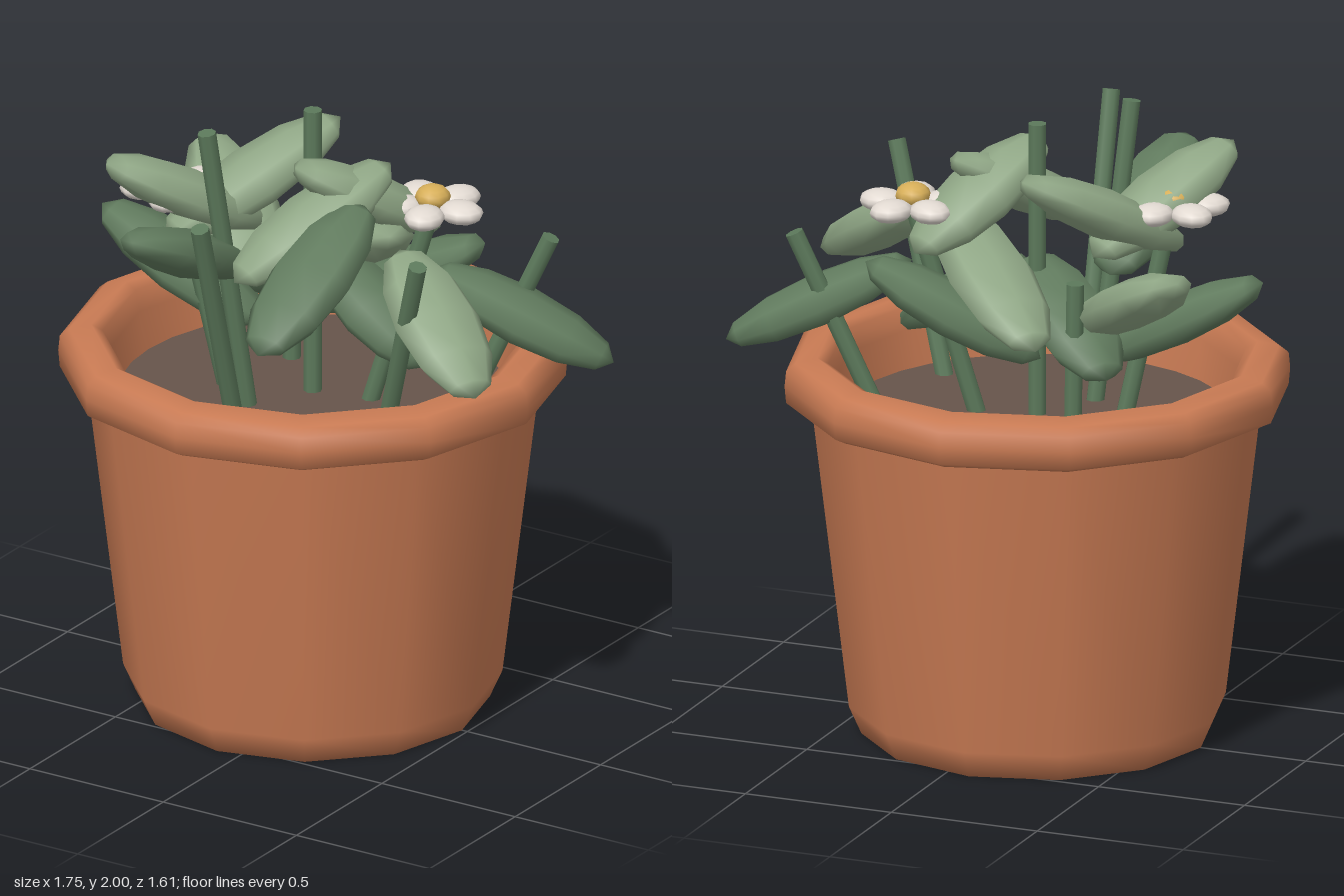
import * as THREE from 'three';

const mat = (name, color) => Object.assign(new THREE.MeshStandardMaterial({ color }), { name });
const V = (p) => new THREE.Vector3(...p);

export function createModel() {
  const clay = mat('terracotta', 0xc87a53);
  const earth = mat('soil', 0x66544a);
  const darkGreen = mat('dark leaf green', 0x617b5e);
  const lightGreen = mat('light leaf green', 0x8fa685);
  const stemGreen = mat('stem green', 0x5c795b);
  const white = mat('petal white', 0xe2dad2);
  const yellow = mat('flower yellow', 0xd6ae58);

  const plant = new THREE.Group();
  plant.name = 'pottedPlant';
  const add = (name, geometry, material, parent = plant) => {
    const mesh = new THREE.Mesh(geometry, material);
    mesh.name = name;
    parent.add(mesh);
    return mesh;
  };

  // Pot: twelve-sided turned body, rounded rim and inner wall
  const pot = new THREE.Group();
  pot.name = 'pot';
  pot.position.x = -0.08;
  plant.add(pot);
  const lathe = (name, points) => add(name,
    new THREE.LatheGeometry(points.map(([r, y]) => new THREE.Vector2(r, y)), 12), clay, pot);
  lathe('potBody', [[0, 0], [0.56, 0], [0.6, 0.09], [0.72, 1.1]]);
  lathe('potRim', [[0.71, 1.08], [0.76, 1.085], [0.8, 1.105], [0.805, 1.16], [0.8, 1.21],
    [0.77, 1.235], [0.7, 1.25], [0.665, 1.23], [0.65, 1.16], [0.63, 1.0]]);
  const soil = add('soil', new THREE.CircleGeometry(0.615, 32), earth, pot);
  soil.rotation.x = -Math.PI / 2;
  soil.position.y = 1.04;

  // Stems: thin rods from the soil to a tip
  const stem = (base, tip) => {
    const a = V(base), b = V(tip), d = b.clone().sub(a);
    const rod = add('stem', new THREE.CylinderGeometry(0.03, 0.03, d.length(), 8), stemGreen);
    rod.position.copy(a).add(b).multiplyScalar(0.5);
    rod.quaternion.setFromUnitVectors(new THREE.Vector3(0, 1, 0), d.normalize());
  };
  [
    [[-0.19, 1.0, 0.2], [-0.26, 2.0, 0.34]],
    [[-0.08, 1.0, 0], [-0.08, 2.0, 0]],
    [[-0.035, 1.0, 0.49], [-0.01, 1.88, 0.77]],
    [[0.34, 1.0, 0.26], [0.57, 1.75, 0.4]],
    [[0.37, 1.0, -0.18], [0.64, 1.63, -0.27]],
    [[-0.33, 1.0, 0.1], [-0.46, 1.7, 0.18]],
    [[-0.28, 1.0, -0.19], [-0.29, 1.55, -0.19]],
    [[0.1, 1.0, -0.04], [0.3, 1.72, -0.11]],
  ].forEach(([base, tip]) => stem(base, tip));

  // Leaves: flattened ellipsoids stretched from base to tip, blade kept level across
  const leafGeometry = new THREE.SphereGeometry(1, 8, 6);
  const leaf = (base, tip, material) => {
    const a = V(base), b = V(tip), along = b.clone().sub(a);
    const length = along.length();
    along.normalize();
    const side = new THREE.Vector3().crossVectors(along, new THREE.Vector3(0, 1, 0)).normalize();
    const up = new THREE.Vector3().crossVectors(side, along);
    const mesh = add('leaf', leafGeometry, material);
    mesh.position.copy(a).add(b).multiplyScalar(0.5);
    mesh.quaternion.setFromRotationMatrix(new THREE.Matrix4().makeBasis(side, along, up));
    mesh.scale.set(0.145, length / 2, 0.08);
  };
  // Lighter leaves
  [
    [[-0.26, 1.36, 0.0], [-0.71, 1.65, -0.36]],
    [[-0.27, 1.58, 0.0], [-0.56, 1.87, 0.46]],
    [[-0.46, 1.57, 0.27], [-0.13, 1.88, -0.24]],
    [[0.26, 1.67, 0.08], [-0.23, 1.37, -0.37]],
    [[0.18, 1.86, -0.05], [-0.08, 1.57, 0.46]],
    [[0.24, 1.6, -0.24], [-0.01, 1.89, 0.21]],
    [[0.33, 1.66, 0.13], [0.8, 1.36, 0.42]],
  ].forEach(([base, tip]) => leaf(base, tip, lightGreen));
  // Darker leaves
  [
    [[-0.25, 1.24, 0.02], [-0.82, 1.54, 0.08]],
    [[-0.27, 1.48, 0.14], [-0.27, 1.77, 0.76]],
    [[0.2, 1.79, 0.14], [0.2, 1.49, 0.76]],
    [[0.32, 1.52, -0.07], [0.87, 1.25, -0.28]],
    [[-0.15, 1.27, -0.14], [0.4, 1.56, -0.26]],
    [[-0.03, 1.53, 0.02], [0.41, 1.26, 0.08]],
    [[-0.02, 1.53, 0.1], [-0.42, 1.26, -0.24]],
  ].forEach(([base, tip]) => leaf(base, tip, darkGreen));

  // Flowers: five plump petals round a domed centre
  const ballGeometry = new THREE.SphereGeometry(1, 10, 8);
  const flower = (x, y, z) => {
    const group = new THREE.Group();
    group.name = 'flower';
    group.position.set(x, y, z);
    plant.add(group);
    for (let i = 0; i < 5; i++) {
      const angle = (i * Math.PI * 2) / 5;
      const petal = add('petal', ballGeometry, white, group);
      petal.position.set(Math.cos(angle) * 0.105, 0, -Math.sin(angle) * 0.105);
      petal.rotation.y = angle;
      petal.scale.set(0.075, 0.036, 0.064);
    }
    const heart = add('flowerCentre', ballGeometry, yellow, group);
    heart.position.y = 0.03;
    heart.scale.set(0.057, 0.04, 0.057);
  };
  flower(0.3, 1.72, -0.11);
  flower(-0.47, 1.715, 0.19);

  return plant;
}
